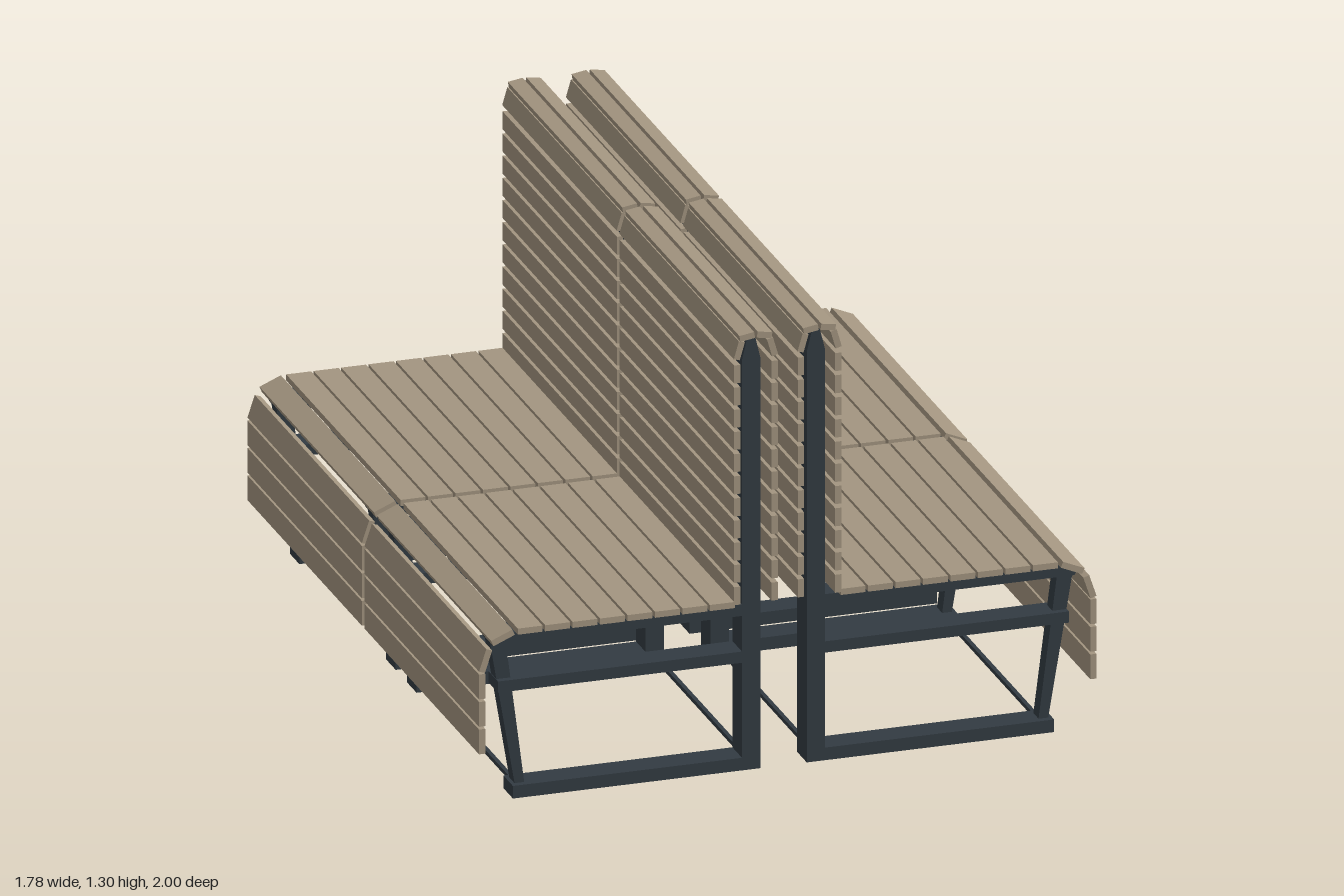
import * as THREE from 'three';

const wood = new THREE.MeshStandardMaterial({ color: 0xa39580 });
wood.name = 'weathered wood';
const steel = new THREE.MeshStandardMaterial({ color: 0x323b42 });
steel.name = 'dark steel';

const LENGTH = 0.988; // slat length along z
const THICK = 0.018;

// Box given by its x and y limits, centred on z
function bar(parent, name, mat, x0, x1, y0, y1, depth, z = 0) {
  const m = new THREE.Mesh(new THREE.BoxGeometry(x1 - x0, y1 - y0, depth), mat);
  m.position.set((x0 + x1) / 2, (y0 + y1) / 2, z);
  m.name = name;
  parent.add(m);
  return m;
}

// Slat given by its centre, width and tilt in the xy plane
function slat(parent, name, x, y, width, angle) {
  const m = bar(parent, name, wood, x - width / 2, x + width / 2, y - THICK / 2, y + THICK / 2, LENGTH);
  m.rotation.z = angle;
}

// Side profile extruded to a depth and centred on z
function profile(parent, name, points, depth) {
  const shape = new THREE.Shape(points.map(([x, y]) => new THREE.Vector2(x, y)));
  const geo = new THREE.ExtrudeGeometry(shape, { depth, bevelEnabled: false });
  geo.translate(0, 0, -depth / 2);
  const m = new THREE.Mesh(geo, steel);
  m.name = name;
  parent.add(m);
}

function createFrame(z) {
  const g = new THREE.Group();
  g.name = 'supportFrame';
  const d = 0.083;
  profile(g, 'backPost', [[0.067, 0], [0.12, 0], [0.12, 1.21], [0.103, 1.28], [0.084, 1.28], [0.067, 1.21]], d);
  bar(g, 'footRail', steel, 0.12, 0.782, 0, 0.037, d);
  bar(g, 'middleRail', steel, 0.12, 0.825, 0.317, 0.35, d);
  bar(g, 'seatRail', steel, 0.12, 0.81, 0.455, 0.489, d);
  profile(g, 'railNose', [[0.805, 0.455], [0.84, 0.455], [0.847, 0.468], [0.805, 0.487]], d);
  profile(g, 'frontLeg', [[0.743, 0.037], [0.771, 0.037], [0.842, 0.46], [0.797, 0.46]], 0.045);
  g.position.z = z;
  return g;
}

// One bench module facing +x
function createBench() {
  const g = new THREE.Group();
  g.name = 'benchModule';
  for (const z of [-0.416, 0.416]) g.add(createFrame(z));
  for (const x of [0.094, 0.755]) bar(g, 'tieRod', steel, x - 0.006, x + 0.006, 0.016, 0.028, 0.76);

  // Seat, its rounded front edge and the apron
  for (let i = 0; i < 8; i++) slat(g, 'seatSlat', 0.189 + i * 0.0793, 0.505, 0.072, 0);
  slat(g, 'seatEdgeSlat', 0.823, 0.492, 0.067, -0.4);
  slat(g, 'apronTopSlat', 0.873, 0.43, 0.067, -1.25);
  for (let i = 0; i < 3; i++) slat(g, 'apronSlat', 0.883, 0.194 + i * 0.081, 0.073, Math.PI / 2);

  // Backrest, slatted on both faces with a rounded cap
  const mid = 0.092;
  for (const s of [-1, 1]) {
    for (let i = 0; i < 11; i++) slat(g, 'backSlat', mid + s * 0.054, 0.531 + i * 0.0653, 0.053, Math.PI / 2);
    slat(g, 'capSideSlat', mid + s * 0.048, 1.252, 0.053, -s * 1.29);
    slat(g, 'capTopSlat', mid + s * 0.025, 1.29, 0.043, -s * 0.16);
  }
  return g;
}

export function createModel() {
  const model = new THREE.Group();
  model.name = 'doubleBench';
  // Two modules end to end, back to back with two more
  for (const z of [-0.506, 0.506]) {
    for (const turn of [0, Math.PI]) {
      const bench = createBench();
      bench.rotation.y = turn;
      bench.position.z = z;
      model.add(bench);
    }
  }
  return model;
}
